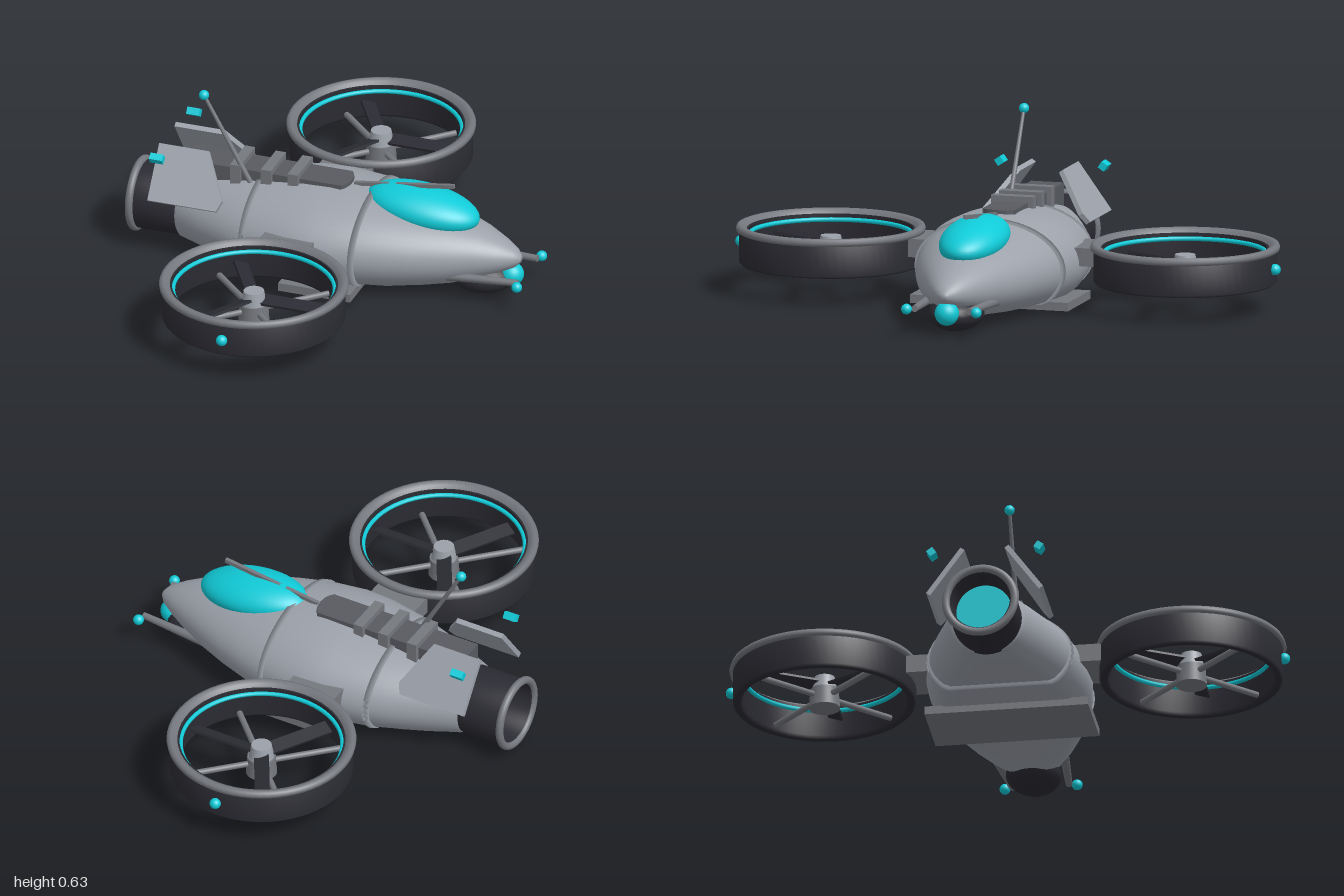
import * as THREE from 'three';

const mat = (name, color, side = THREE.FrontSide) => {
  const m = new THREE.MeshStandardMaterial({ color, side });
  m.name = name;
  return m;
};

export function createModel() {
  const hullGrey = mat('hull grey', 0x9ca1aa);
  const trimGrey = mat('trim grey', 0x75787e);
  const spineGrey = mat('spine grey', 0x585b61);
  const dark = mat('dark duct', 0x2b2b33, THREE.DoubleSide);
  const teal = mat('teal glow', 0x10cbd8);

  const root = new THREE.Group();
  const add = (name, geo, material, x = 0, y = 0, z = 0, parent = root) => {
    const m = new THREE.Mesh(geo, material);
    m.name = name;
    m.position.set(x, y, z);
    parent.add(m);
    return m;
  };
  const box = (x, y, z) => new THREE.BoxGeometry(x, y, z);
  const ball = (r) => new THREE.SphereGeometry(r, 24, 16);
  const lathe = (pts, seg = 64) => new THREE.LatheGeometry(pts.map(p => new THREE.Vector2(...p)), seg);
  // Straight round bar between two points
  const bar = (name, a, b, r1, r2, material, parent = root) => {
    const A = new THREE.Vector3(...a), B = new THREE.Vector3(...b), d = B.clone().sub(A);
    const m = add(name, new THREE.CylinderGeometry(r2, r1, d.length(), 12), material, 0, 0, 0, parent);
    m.position.copy(A).add(B).multiplyScalar(0.5);
    m.quaternion.setFromUnitVectors(new THREE.Vector3(0, 1, 0), d.normalize());
    return m;
  };

  // Fuselage stations: x, half width, half height, centre height
  const stations = [
    [-0.57, 0.11, 0.1, 0.15], [-0.55, 0.135, 0.122, 0.15], [-0.45, 0.18, 0.14, 0.15],
    [-0.35, 0.222, 0.153, 0.15], [-0.25, 0.257, 0.167, 0.15], [-0.1, 0.285, 0.181, 0.152],
    [0, 0.29, 0.183, 0.153], [0.13, 0.273, 0.174, 0.153], [0.25, 0.242, 0.157, 0.152],
    [0.35, 0.207, 0.14, 0.15], [0.45, 0.165, 0.12, 0.149], [0.55, 0.115, 0.09, 0.148],
    [0.62, 0.075, 0.06, 0.146], [0.67, 0.04, 0.033, 0.144], [0.69, 0.014, 0.012, 0.142],
  ];
  const FLOOR = 0.04;
  // Elliptical sections, clipped flat underneath
  const loft = (rows, grow = 0) => {
    const N = 48, pos = [], idx = [];
    for (const [x, w, h, c] of rows) {
      for (let j = 0; j <= N; j++) {
        const a = (j / N) * Math.PI * 2;
        pos.push(x, Math.max(FLOOR - grow, c + (h + grow) * Math.cos(a)), (w + grow) * Math.sin(a));
      }
    }
    for (let i = 0; i < rows.length - 1; i++) {
      for (let j = 0; j < N; j++) {
        const a = i * (N + 1) + j, b = a + N + 1;
        idx.push(a, a + 1, b, b, a + 1, b + 1);
      }
    }
    // End caps
    for (const [i, flip] of [[0, 1], [rows.length - 1, 0]]) {
      const c = pos.length / 3, s = i * (N + 1);
      pos.push(rows[i][0], rows[i][3], 0);
      for (let j = 0; j < N; j++) idx.push(c, s + (flip ? j + 1 : j), s + (flip ? j : j + 1));
    }
    const g = new THREE.BufferGeometry();
    g.setAttribute('position', new THREE.Float32BufferAttribute(pos, 3));
    g.setIndex(idx);
    g.computeVertexNormals();
    return g;
  };
  add('fuselage', loft(stations), hullGrey);
  // Raised seam bands
  add('rearSeam', loft([[-0.275, 0.247, 0.163, 0.15], [-0.255, 0.255, 0.166, 0.15]], 0.006), hullGrey);
  add('frontSeam', loft([[0.14, 0.271, 0.173, 0.153], [0.16, 0.266, 0.17, 0.153]], 0.006), hullGrey);

  // Canopy and its sighting rail
  const canopy = add('canopy', new THREE.SphereGeometry(1, 40, 28), teal, 0.325, 0.286, 0);
  canopy.scale.set(0.208, 0.073, 0.115);
  canopy.rotation.z = -0.12;
  const rail = add('canopyRail', box(0.375, 0.014, 0.014), trimGrey, 0.255, 0.358, 0);
  rail.rotation.z = 0.14;

  // Dorsal spine with clamps
  add('spine', box(0.58, 0.11, 0.12), spineGrey, -0.25, 0.29, 0);
  const spineEnd = add('spineNose', new THREE.CylinderGeometry(0.06, 0.06, 0.11, 24), spineGrey, 0.03, 0.29, 0);
  spineEnd.scale.x = 0.5;
  for (const x of [-0.35, -0.235, -0.135]) add('spineClamp', box(0.038, 0.1, 0.155), trimGrey, x, 0.315, 0);

  // Rear engine nozzle
  const nozzle = new THREE.Group();
  nozzle.name = 'nozzle';
  nozzle.position.set(0, 0.152, 0);
  nozzle.rotation.z = Math.PI / 2;
  root.add(nozzle);
  add('nozzleShell', lathe([[0.1, 0.56], [0.122, 0.54], [0.122, 0.73], [0.105, 0.73], [0.095, 0.6]], 48), dark, 0, 0, 0, nozzle);
  add('nozzleRim', new THREE.TorusGeometry(0.122, 0.014, 12, 48), trimGrey, 0, 0.73, 0, nozzle).rotation.x = Math.PI / 2;
  add('engineGlow', new THREE.CylinderGeometry(0.1, 0.1, 0.02, 40), teal, 0, 0.63, 0, nozzle);

  // Antenna
  bar('antenna', [-0.285, 0.28, 0.065], [-0.47, 0.615, 0.065], 0.01, 0.006, trimGrey);
  add('antennaTip', ball(0.018), teal, -0.47, 0.615, 0.065);

  // Belly skid
  add('bellySkid', box(0.268, 0.03, 0.58), trimGrey, 0.023, 0.031, 0);

  // Chin turret and lens
  add('chinTurret', ball(1), dark, 0.545, 0.062, 0).scale.set(0.118, 0.062, 0.098);
  add('chinLens', ball(0.043), teal, 0.655, 0.078, 0);

  // Tail fin outline: x, height along the fin
  const finShape = new THREE.Shape([[-0.63, 0], [-0.63, 0.207], [-0.445, 0.207], [-0.36, 0.04], [-0.375, 0]]
    .map(p => new THREE.Vector2(...p)));

  for (const s of [1, -1]) {
    // Fin leans inward at the top
    const fin = add('tailFin', new THREE.ExtrudeGeometry(finShape, { depth: 0.018, bevelEnabled: false }).translate(0, 0, -0.009),
      hullGrey, 0, 0.235, s * 0.2);
    fin.rotation.x = -s * 0.63;
    add('finLight', box(0.048, 0.026, 0.026), teal, -0.6, 0.402, s * 0.19).rotation.x = s * 0.6;

    // Nose probes
    bar('noseProbe', [0.4, 0.092, s * 0.125], [0.715, 0.1, s * 0.1], 0.018, 0.012, trimGrey);
    add('probeTip', ball(0.019), teal, 0.72, 0.098, s * 0.128);

    // Ducted fan pod
    add('podPylon', box(0.19, 0.065, 0.16), trimGrey, -0.08, 0.185, s * 0.28);
    const pod = new THREE.Group();
    pod.name = 'fanPod';
    pod.position.set(-0.07, 0, s * 0.65);
    root.add(pod);
    add('duct', lathe([[0.288, 0.225], [0.288, 0.112], [0.297, 0.1], [0.314, 0.1], [0.322, 0.108], [0.322, 0.225], [0.288, 0.225]]),
      dark, 0, 0, 0, pod);
    add('ductRim', lathe([[0.29, 0.218], [0.322, 0.214], [0.331, 0.218], [0.333, 0.228], [0.329, 0.238], [0.318, 0.242], [0.302, 0.236], [0.29, 0.218]]),
      trimGrey, 0, 0, 0, pod);
    add('ductGlow', new THREE.TorusGeometry(0.284, 0.008, 10, 64), teal, 0, 0.205, 0, pod).rotation.x = Math.PI / 2;
    add('hub', new THREE.CylinderGeometry(0.05, 0.055, 0.07, 32), trimGrey, 0, 0.117, 0, pod);
    add('spinner', new THREE.CylinderGeometry(0.036, 0.045, 0.05, 32), hullGrey, 0, 0.175, 0, pod);
    for (let i = 0; i < 4; i++) {
      const a = Math.PI / 4 + i * Math.PI / 2, c = Math.cos(a), d = Math.sin(a);
      bar('strut', [0.03 * c, 0.125, 0.03 * d], [0.295 * c, 0.125, 0.295 * d], 0.011, 0.011, trimGrey, pod);
    }
    for (let i = 0; i < 3; i++) {
      const arm = new THREE.Group();
      arm.name = 'bladeArm';
      arm.rotation.y = i * Math.PI * 2 / 3;
      pod.add(arm);
      add('blade', box(0.245, 0.01, 0.052), dark, 0.15, 0.17, 0, arm).rotation.x = 0.3;
    }
    add('podLight', ball(0.02), teal, 0, 0.163, s * 0.33, pod);
  }
  return root;
}
